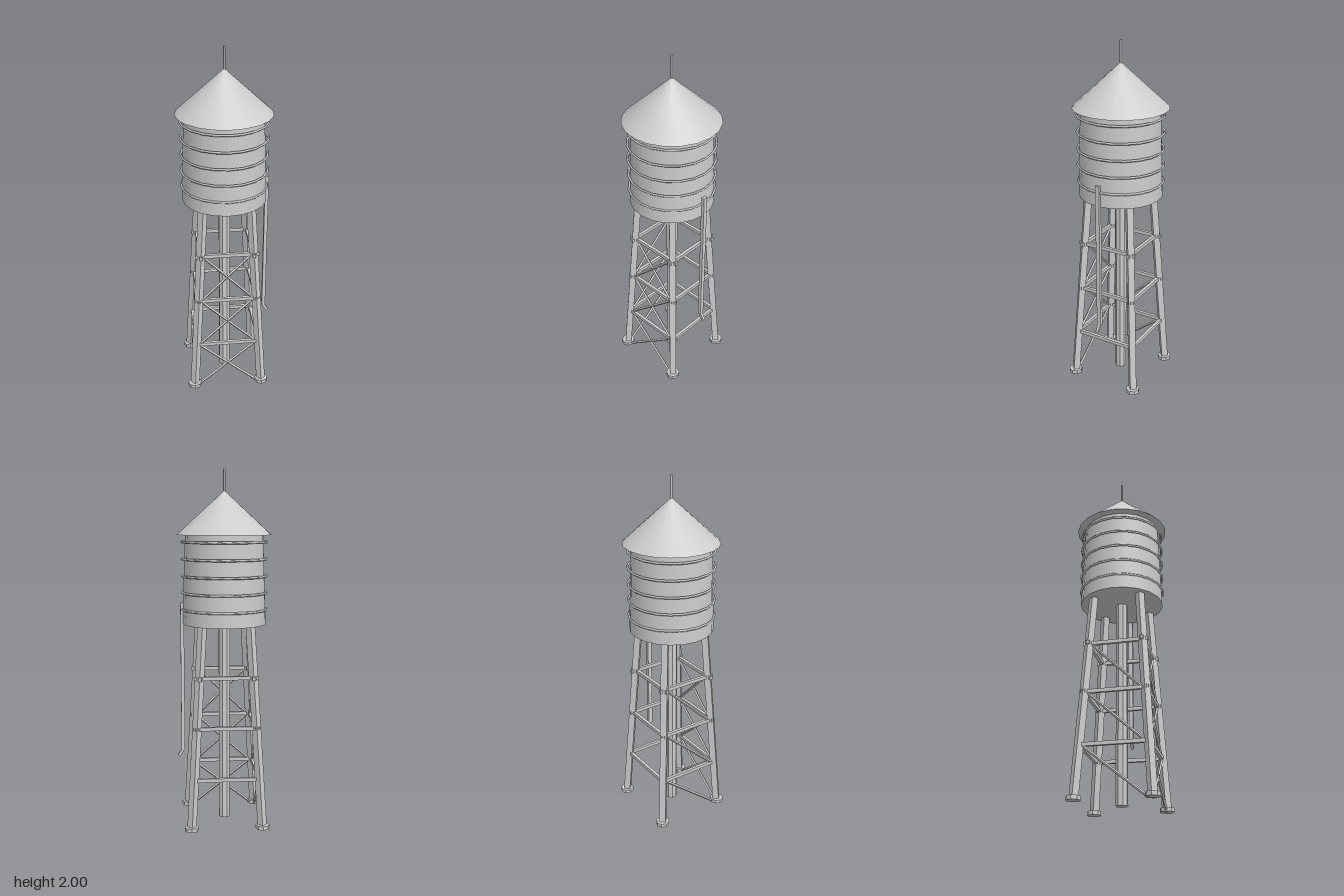
import * as THREE from 'three';

export function createModel() {
  const model = new THREE.Group();
  const tower = new THREE.Group();
  tower.name = 'waterTower';
  tower.position.x = -0.004;
  model.add(tower);

  const grey = new THREE.MeshStandardMaterial({ color: 0xcccccc });
  grey.name = 'light grey';

  const V = (x, y, z) => new THREE.Vector3(x, y, z);
  const UP = V(0, 1, 0);

  // Faceted copy of a geometry, so that few-sided parts keep hard edges
  const flat = (geometry) => {
    const g = geometry.toNonIndexed();
    g.computeVertexNormals();
    return g;
  };
  const add = (name, geometry, x = 0, y = 0, z = 0) => {
    const mesh = new THREE.Mesh(geometry, grey);
    mesh.name = name;
    mesh.position.set(x, y, z);
    tower.add(mesh);
    return mesh;
  };
  // Straight few-sided bar between two points
  const bar = (name, a, b, radius, sides = 4, turn = 0) => {
    const g = new THREE.CylinderGeometry(radius, radius, a.distanceTo(b), sides);
    g.rotateY(turn);
    const mesh = add(name, flat(g));
    mesh.position.copy(a).lerp(b, 0.5);
    mesh.quaternion.setFromUnitVectors(UP, b.clone().sub(a).normalize());
    return mesh;
  };

  // Tapered tank
  const tankBottom = 1.153, tankTop = 1.65;
  add('tank', new THREE.CylinderGeometry(0.217, 0.235, tankTop - tankBottom, 20),
    0, (tankTop + tankBottom) / 2, 0);

  // Hoops around the tank
  for (let i = 0; i < 5; i++) {
    const hoop = new THREE.TorusGeometry(0.237, 0.007, 4, 20);
    hoop.rotateX(Math.PI / 2);
    add('tankHoop', hoop, 0, 1.235 + i * 0.0928, 0);
  }

  // Conical roof and finial
  add('roof', new THREE.ConeGeometry(0.264, 0.241, 20), 0, 1.645 + 0.1205, 0);
  add('finial', new THREE.CylinderGeometry(0.006, 0.006, 0.13, 8), 0, 1.935, 0);

  // Central riser pipe
  bar('riserPipe', V(0, 0.01, 0), V(0, 1.16, 0), 0.033, 8, Math.PI / 8);

  // Leaning legs, each on an octagonal foot
  const legOffset = (y) => 0.2 - 0.068 * y / 1.155;
  for (const sx of [-1, 1]) {
    for (const sz of [-1, 1]) {
      const at = (y) => V(sx * legOffset(y), y, sz * legOffset(y));
      bar('leg', at(0.015), at(1.158), 0.026);
      add('foot', flat(new THREE.CylinderGeometry(0.039, 0.039, 0.022, 8)), sx * 0.2, 0.02, sz * 0.2);
    }
  }

  // Horizontal struts on all four sides
  const levels = [0.294, 0.585, 0.867];
  const halfLengths = [0.17, 0.185, 0.18];
  levels.forEach((y, i) => {
    for (const s of [-1, 1]) {
      const d = s * legOffset(y);
      add('strut', new THREE.BoxGeometry(halfLengths[i] * 2, 0.02, 0.018), 0, y, d);
      add('strut', new THREE.BoxGeometry(0.018, 0.02, halfLengths[i] * 2), d, y, 0);
    }
  });

  // Diagonal braces: crossed on the front, single on one side
  [0.008, ...levels].slice(0, 3).forEach((low, i) => {
    const high = levels[i];
    const a = legOffset(low) * 0.9, b = legOffset(high) * 0.95;
    const da = legOffset(low), db = legOffset(high);
    for (const s of [-1, 1]) bar('brace', V(s * a, low, da), V(-s * b, high, db), 0.008);
    bar('brace', V(-da, low, a), V(-db, high, -b), 0.008);
  });

  // Overflow pipe with a kinked outlet
  add('overflowPipe', new THREE.BoxGeometry(0.02, 0.85, 0.024), 0.237, 0.847, 0);
  bar('overflowOutlet', V(0.237, 0.425, 0), V(0.262, 0.382, 0), 0.011, 4, Math.PI / 4);

  return model;
}
